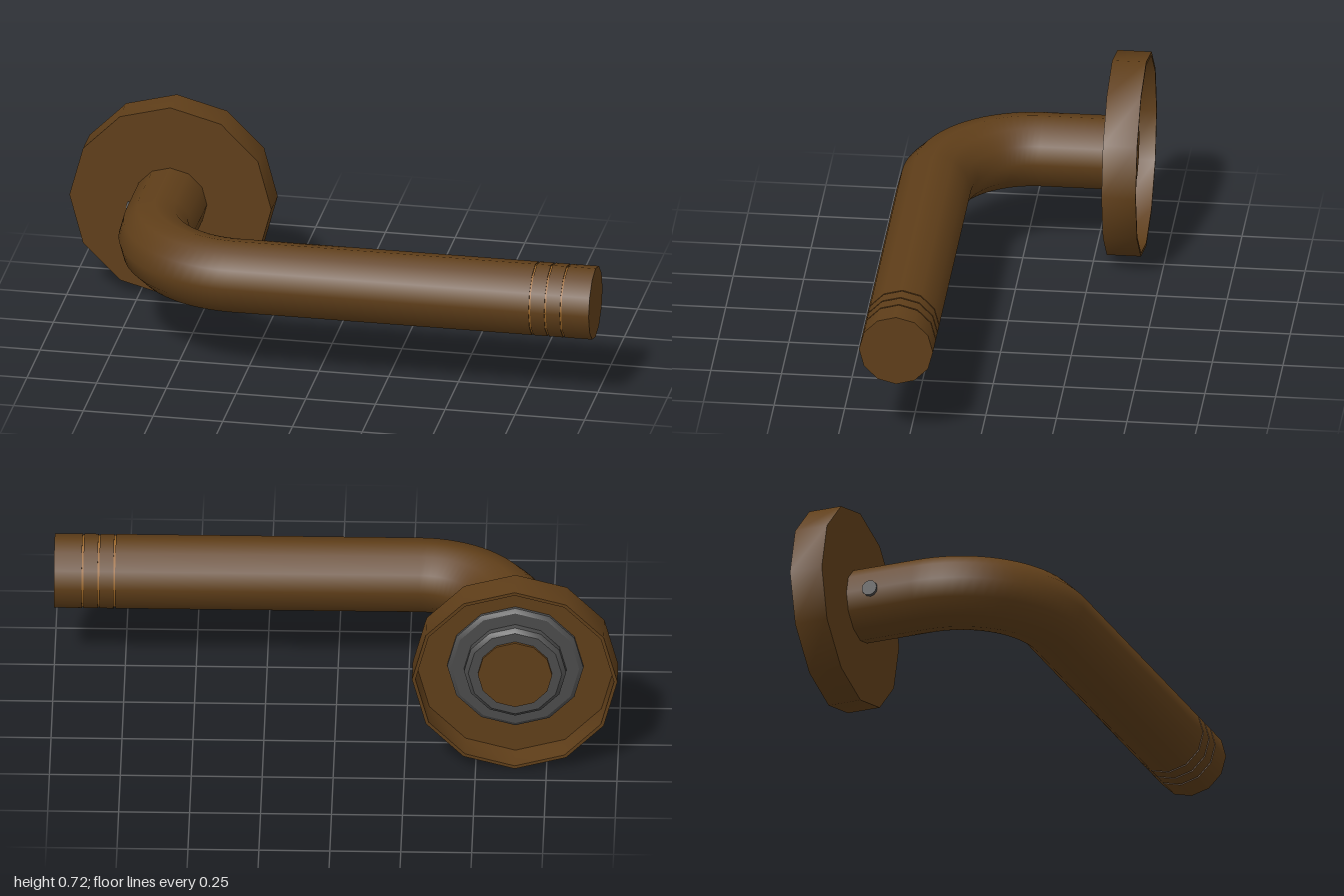
import * as THREE from 'three';
import { toCreasedNormals } from 'three/addons/utils/BufferGeometryUtils.js';

const SIDES = 12;
const R = 0.131;            // grip radius
const BEND = 0.35;          // centre-line radius of the bend
const NECK_X = -0.638;
const GRIP_Z = 0.292;
const AXIS_Y = 0.363;

const bronze = new THREE.MeshStandardMaterial({ color: 0x5f3e19, side: THREE.DoubleSide });
const steel = new THREE.MeshStandardMaterial({ color: 0x4a4a4a, side: THREE.DoubleSide });
const brightBronze = new THREE.MeshStandardMaterial({ color: 0x9a6526 });

export function createModel() {
  const group = new THREE.Group();

  const add = (name, geometry, material, x, y, z) => {
    const mesh = new THREE.Mesh(geometry, material);
    mesh.name = name;
    mesh.position.set(x, y, z);
    group.add(mesh);
    return mesh;
  };

  // Turned part on the neck axis, profile given as [radius, z]
  const turned = (name, profile, material) => {
    const points = profile.map(([r, z]) => new THREE.Vector2(r, z));
    const geometry = new THREE.LatheGeometry(points, SIDES).rotateX(Math.PI / 2);
    return add(name, toCreasedNormals(geometry, 0.6), material, NECK_X, AXIS_Y, 0);
  };

  // Length of bar along x between two positions
  const bar = (name, x0, x1, radius, material) => {
    const geometry = new THREE.CylinderGeometry(radius, radius, x1 - x0, SIDES).rotateZ(-Math.PI / 2);
    return add(name, geometry, material, (x0 + x1) / 2, AXIS_Y, GRIP_Z);
  };

  // Hollow cover plate, open at the back
  turned('rose', [
    [0.12, -0.316], [0.35, -0.316], [0.35, -0.423], [0.362, -0.423], [0.362, -0.302], [0.12, -0.302],
  ], bronze);

  // Stepped bearing collar inside the cover plate
  turned('bearingCollar', [
    [0.13, -0.375], [0.165, -0.375], [0.18, -0.362], [0.18, -0.338],
    [0.225, -0.338], [0.24, -0.328], [0.24, -0.314],
  ], steel);

  // Neck from the collar to the bend
  const neckBack = -0.385;
  const neckFront = GRIP_Z - BEND;
  const neck = new THREE.CylinderGeometry(R, R, neckFront - neckBack, SIDES).rotateX(Math.PI / 2);
  add('neck', neck, bronze, NECK_X, AXIS_Y, (neckBack + neckFront) / 2);

  // Quarter bend joining neck and grip
  const bend = new THREE.TorusGeometry(BEND, R, SIDES, 20, Math.PI / 2)
    .rotateZ(Math.PI / 2).rotateX(Math.PI / 2);
  add('bend', bend, bronze, NECK_X + BEND, AXIS_Y, neckFront);

  // Grip, split by three fine grooves near the end
  const grooves = [0.787, 0.843, 0.899];
  const half = 0.003;
  let start = NECK_X + BEND;
  for (const x of grooves) {
    bar('grip', start, x - half, R, bronze);
    bar('grooveCore', x - 0.01, x + 0.01, R - 0.004, brightBronze);
    start = x + half;
  }
  bar('gripEnd', start, 1, R, bronze);

  // Small set screw on the outer side of the neck
  const screw = new THREE.CylinderGeometry(0.028, 0.028, 0.03, SIDES).rotateZ(Math.PI / 2);
  add('setScrew', screw, steel, NECK_X - R + 0.008, AXIS_Y, -0.213);

  return group;
}
